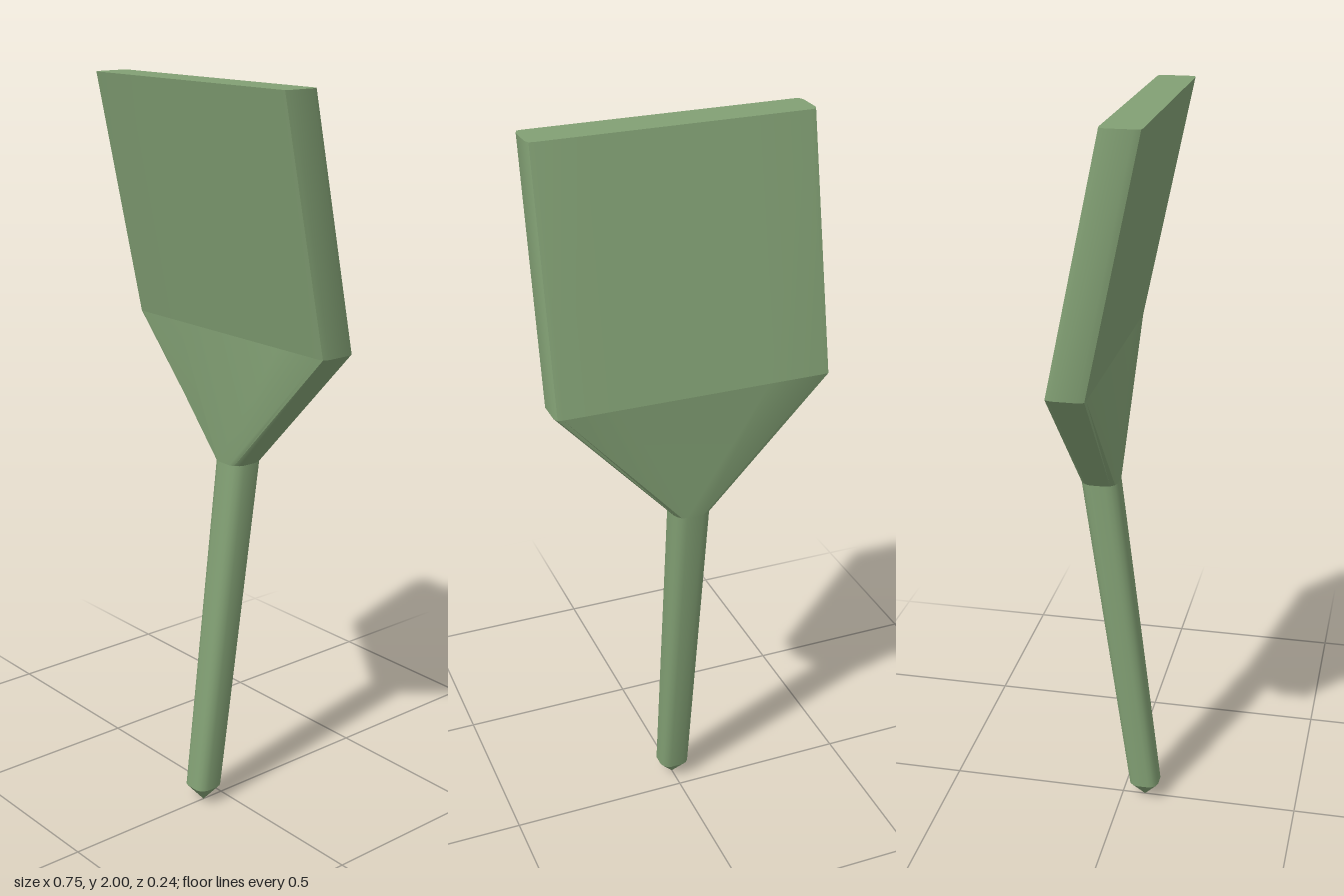
import * as THREE from 'three';
import { toCreasedNormals } from 'three/addons/utils/BufferGeometryUtils.js';

// Quarter outlines [x, z], running from the front face round to the left side
const round = [[0.022, 0.05], [0.036, 0.045], [0.046, 0.034], [0.051, 0.02]];
const flat = [[0.2, 0.051], [0.353, 0.051], [0.367, 0.049], [0.373, 0.033]];

// Mirror a quarter outline into a closed 16-point ring at height y, centred on z
function ring(quarter, y, z, scale = 1) {
  const back = [...quarter].reverse();
  const outline = [
    ...quarter,
    ...back.map(([a, b]) => [a, -b]),
    ...quarter.map(([a, b]) => [-a, -b]),
    ...back.map(([a, b]) => [-a, b]),
  ];
  return outline.map(([a, b]) => new THREE.Vector3(a * scale, y, z + b * scale));
}

// Skin between two rings, with an optional flat lid on the upper one
function loft(lower, upper, lid = false) {
  const points = [];
  const n = lower.length;
  const centre = new THREE.Vector3();
  upper.forEach((p) => centre.addScaledVector(p, 1 / n));
  for (let i = 0; i < n; i++) {
    const j = (i + 1) % n;
    points.push(lower[i], lower[j], upper[j], lower[i], upper[j], upper[i]);
    if (lid) points.push(centre, upper[i], upper[j]);
  }
  const geometry = new THREE.BufferGeometry().setFromPoints(points);
  return toCreasedNormals(geometry, 0.6);
}

export function createModel() {
  const group = new THREE.Group();
  const green = new THREE.MeshStandardMaterial({ color: 0x82a074 });
  green.name = 'sage green';

  const add = (name, geometry) => {
    const mesh = new THREE.Mesh(geometry, green);
    mesh.name = name;
    group.add(mesh);
  };

  const tip = ring(round, 0, 0.065, 0.002);
  const handleEnd = ring(round, 0.05, 0.065, 0.83);
  const neck = ring(round, 0.99, -0.06);
  const shoulder = ring(flat, 1.345, -0.068);
  const bladeEnd = ring(flat, 2, 0.068);

  add('handleTip', loft(tip, handleEnd));
  add('handle', loft(handleEnd, neck));
  add('funnel', loft(neck, shoulder));
  add('blade', loft(shoulder, bladeEnd, true));
  return group;
}
